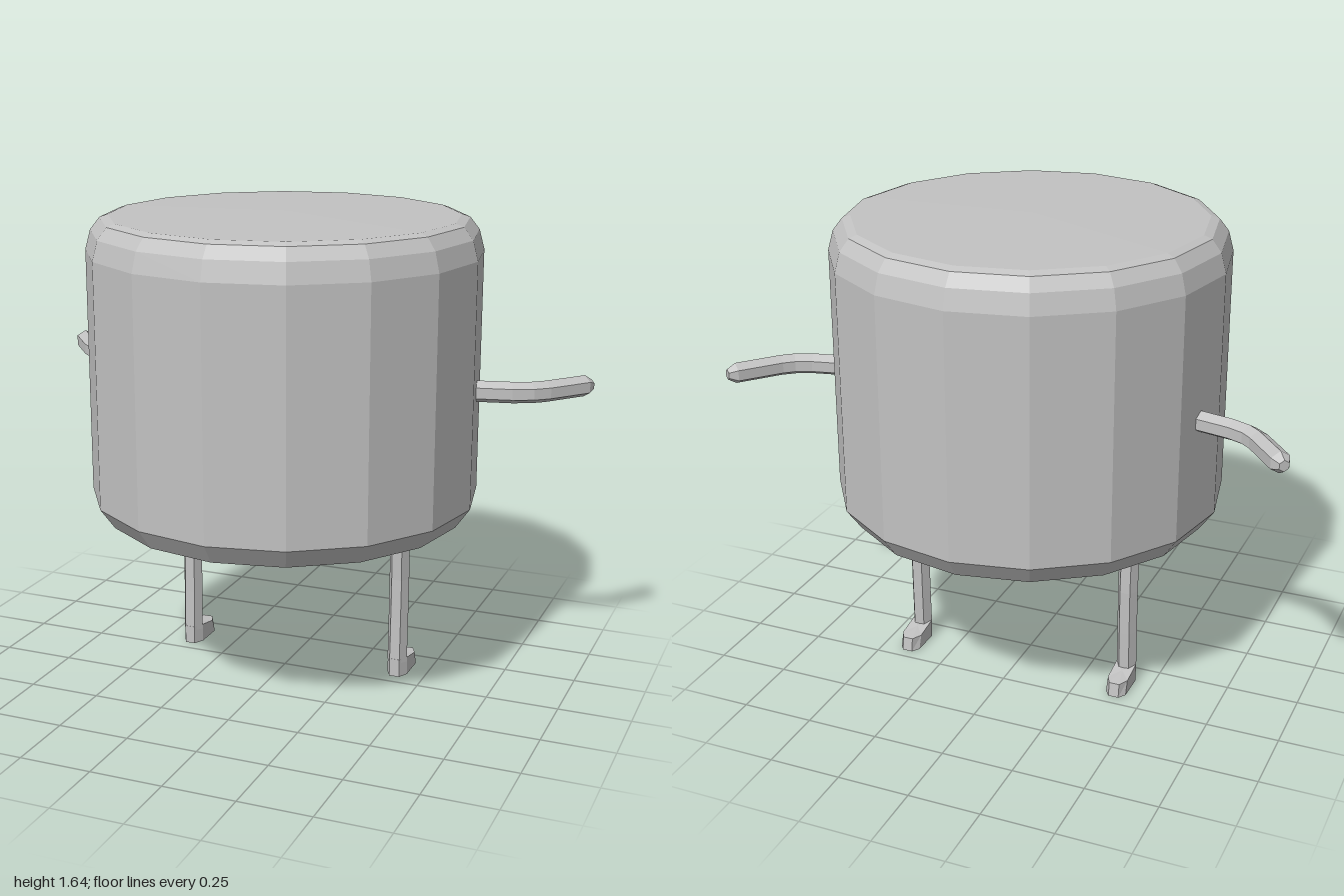
import * as THREE from 'three';

const grey = new THREE.MeshStandardMaterial({ color: 0xc2c2c2, flatShading: true });
grey.name = 'plain grey';

const V = (x, y, z) => new THREE.Vector3(x, y, z);

// Closed skin over a list of rings, each wound counter-clockwise about the direction of travel
function loft(rings) {
  const pos = [];
  const tri = (...pts) => pts.forEach(p => pos.push(p.x, p.y, p.z));
  const centre = ring => ring.reduce((s, p) => s.add(p), V(0, 0, 0)).divideScalar(ring.length);
  const n = rings[0].length, last = rings[rings.length - 1];
  const c0 = centre(rings[0]), c1 = centre(last);
  for (let i = 0; i < n; i++) {
    const j = (i + 1) % n;
    for (let k = 0; k + 1 < rings.length; k++) {
      const a = rings[k], b = rings[k + 1];
      tri(a[i], a[j], b[j]);
      tri(a[i], b[j], b[i]);
    }
    tri(c0, rings[0][j], rings[0][i]);
    tri(c1, last[i], last[j]);
  }
  const g = new THREE.BufferGeometry();
  g.setAttribute('position', new THREE.Float32BufferAttribute(pos, 3));
  g.computeVertexNormals();
  return g;
}

// Six-sided limb along a path, with its ridges pointing along `ridge`
function limb(path, ridge, radii) {
  return loft(path.map((p, k) => {
    const t = path[Math.min(k + 1, path.length - 1)].clone()
      .sub(path[Math.max(k - 1, 0)]).normalize();
    const side = t.cross(ridge).normalize();
    return Array.from({ length: 6 }, (_, i) => p.clone()
      .addScaledVector(ridge, radii[k] * Math.cos(i * Math.PI / 3))
      .addScaledVector(side, radii[k] * Math.sin(i * Math.PI / 3)));
  }));
}

export function createModel() {
  const model = new THREE.Group();
  model.name = 'barrelFigure';
  const add = (name, geometry) => {
    const mesh = new THREE.Mesh(geometry, grey);
    mesh.name = name;
    model.add(mesh);
  };

  // Barrel body with bevelled rims and slightly domed ends
  const profile = [[0, 0.57], [0.585, 0.591], [0.62, 0.6], [0.67, 0.67], [0.67, 1.508],
    [0.652, 1.575], [0.62, 1.616], [0.592, 1.626], [0, 1.637]];
  add('body', new THREE.LatheGeometry(profile.map(p => new THREE.Vector2(...p)), 16));

  for (const [label, s] of [['left', 1], ['right', -1]]) {
    // Arm bending backwards, with a blunt tip
    const arm = [[0.58, -0.11], [0.64, -0.125], [0.76, -0.152], [0.82, -0.178],
      [0.86, -0.212], [0.963, -0.338], [0.982, -0.361]];
    add(label + 'Arm', limb(arm.map(([x, z]) => V(s * x, 1.048, z)), V(0, 1, 0),
      [0.037, 0.037, 0.037, 0.037, 0.037, 0.037, 0.019]));

    // Leg with a slight backward bow
    const leg = [[0.62, -0.074], [0.5, -0.079], [0.36, -0.084], [0.2, -0.081], [0.05, -0.077]];
    add(label + 'Leg', limb(leg.map(([y, z]) => V(s * 0.4, y, z)), V(1, 0, 0),
      leg.map(() => 0.036)));

    // Foot pointing backwards: upper outline, then sole
    const outline = (heelY, toeY, ridgeZ, toeZ) => [
      [0.036, heelY, -0.08], [0.018, heelY, -0.045], [-0.018, heelY, -0.045], [-0.036, heelY, -0.08],
      [-0.036, toeY, ridgeZ], [-0.018, toeY, toeZ], [0.018, toeY, toeZ], [0.036, toeY, ridgeZ],
    ].map(([x, y, z]) => V(s * 0.4 + x, y, z));
    add(label + 'Foot', loft([outline(0.065, 0.049, -0.168, -0.204), outline(0, 0, -0.185, -0.211)]));
  }
  return model;
}
